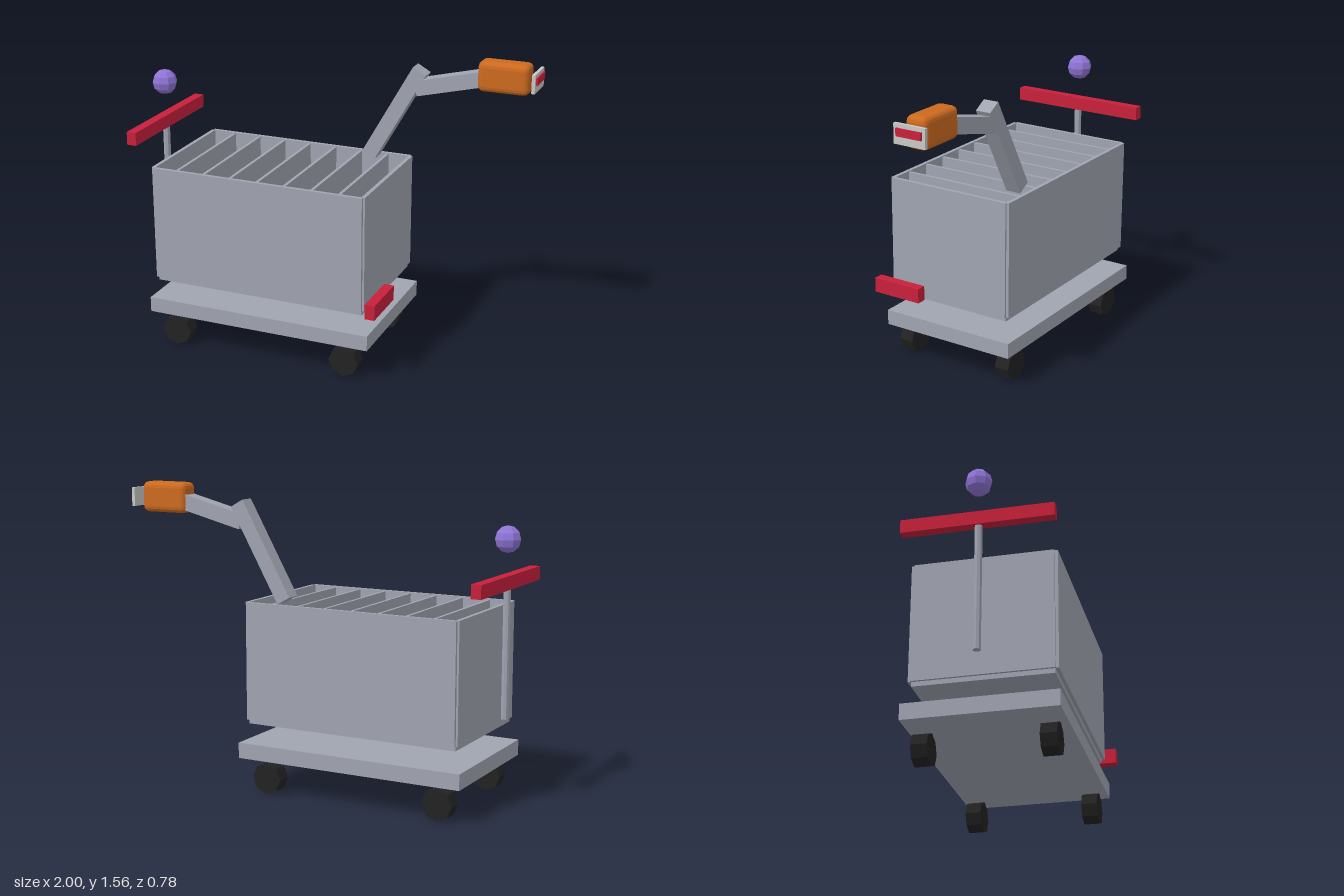
import * as THREE from 'three';
import { RoundedBoxGeometry } from 'three/addons/geometries/RoundedBoxGeometry.js';

const paint = (name, color) => {
  const m = new THREE.MeshStandardMaterial({ color });
  m.name = name;
  return m;
};

export function createModel() {
  const grey = paint('steel grey', 0xa0a4b0);
  const red = paint('red', 0xc8203a);
  const orange = paint('orange', 0xcc6a1f);
  const black = paint('tyre black', 0x222222);
  const lilac = paint('lilac', 0x8f74d6);
  const purple = paint('deep purple', 0x572a8c);
  const gold = paint('gold', 0xd6a030);
  const silver = paint('light silver', 0xc8c8c6);

  const model = new THREE.Group();
  model.name = 'cartRobot';

  const add = (name, geometry, material, x, y, z) => {
    const mesh = new THREE.Mesh(geometry, material);
    mesh.name = name;
    mesh.position.set(x, y, z);
    model.add(mesh);
    return mesh;
  };
  // Box given by its lower and upper limits on each axis
  const box = (name, material, [x0, x1], [y0, y1], [z0, z1]) =>
    add(name, new THREE.BoxGeometry(x1 - x0, y1 - y0, z1 - z0), material,
      (x0 + x1) / 2, (y0 + y1) / 2, (z0 + z1) / 2);
  // Facets need separate vertices with their own normals
  const faceted = (geometry) => {
    const g = geometry.index ? geometry.toNonIndexed() : geometry;
    g.computeVertexNormals();
    return g;
  };

  // Platform and wheels
  box('platform', grey, [-0.87, 0.35], [0.18, 0.26], [-0.39, 0.35]);
  const wheel = faceted(new THREE.CylinderGeometry(0.08, 0.08, 0.078, 8).rotateX(Math.PI / 2));
  for (const x of [-0.735, 0.21])
    for (const z of [-0.312, 0.282]) add('wheel', wheel, black, x, 0.08, z);

  // Open crate: floor, four walls and seven dividers
  box('crateFloor', grey, [-0.83, 0.31], [0.357, 0.38], [-0.35, 0.32]);
  for (const z of [-0.357, 0.327])
    box('longWall', grey, [-0.832, 0.312], [0.38, 0.98], [z - 0.01, z + 0.01]);
  for (const x of [-0.832, 0.312])
    box('endWall', grey, [x - 0.01, x + 0.01], [0.38, 0.98], [-0.352, 0.322]);
  for (let i = -3; i <= 3; i++) {
    const x = -0.26 + i * 0.148;
    box('divider', grey, [x - 0.008, x + 0.008], [0.38, 0.975], [-0.347, 0.317]);
  }

  // Core stored inside the crate
  box('core', purple, [-0.6, 0.08], [0.42, 0.72], [-0.29, 0.25]);
  box('corePanel', gold, [0.08, 0.1], [0.47, 0.67], [-0.22, 0.18]);

  // Push handle with its post and ball
  add('handlePost', faceted(new THREE.CylinderGeometry(0.019, 0.019, 0.64, 8)), grey, -0.938, 0.775, -0.015);
  box('handleBar', red, [-0.963, -0.912], [1.092, 1.16], [-0.39, 0.35]);
  add('ball', faceted(new THREE.SphereGeometry(0.066, 8, 6)), lilac, -0.938, 1.33, -0.018);

  // Bumper on the lower end corner
  box('bumper', red, [0.35, 0.402], [0.373, 0.45], [0.115, 0.387]);

  // Jointed arm: each link runs between two points in the x-y plane
  const armZ = -0.288;
  const link = (name, x0, y0, x1, y1) => {
    const length = Math.hypot(x1 - x0, y1 - y0);
    const mesh = add(name, new THREE.BoxGeometry(length, 0.078, 0.08), grey,
      (x0 + x1) / 2, (y0 + y1) / 2, armZ);
    mesh.rotation.z = Math.atan2(y1 - y0, x1 - x0);
  };
  link('lowerArm', 0.118, 0.995, 0.385, 1.467);
  link('upperArm', 0.365, 1.375, 0.76, 1.473);

  // Head with its face plate and visor strip
  add('head', faceted(new RoundedBoxGeometry(0.262, 0.155, 0.115, 2, 0.03)), orange, 0.82, 1.478, armZ);
  box('facePlate', silver, [0.974, 0.991], [1.43, 1.525], [armZ - 0.085, armZ + 0.085]);
  box('visorStrip', red, [0.991, 1.0], [1.469, 1.506], [armZ - 0.068, armZ + 0.068]);

  return model;
}
